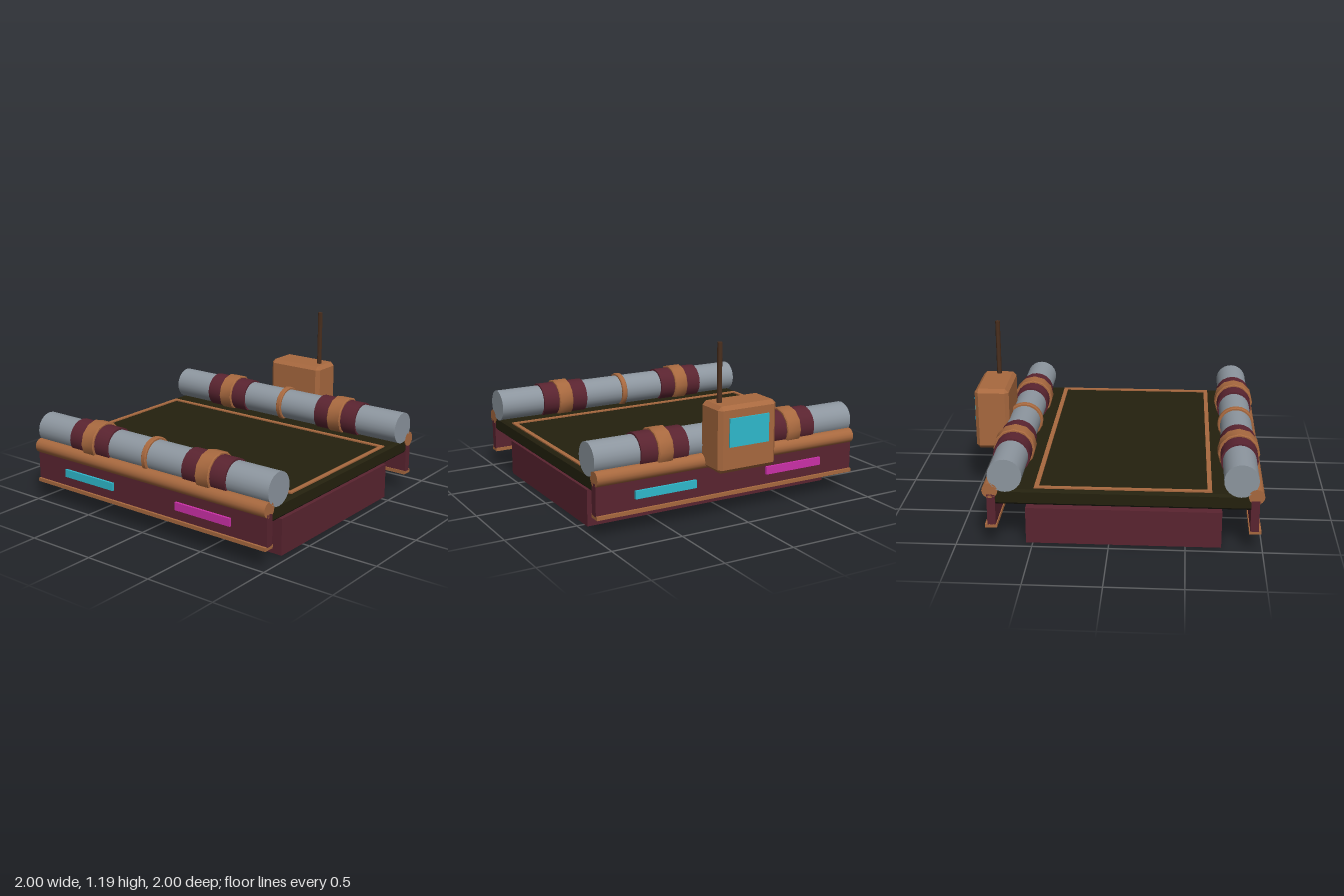
import * as THREE from 'three';
import { ConvexGeometry } from 'three/addons/geometries/ConvexGeometry.js';
import { toCreasedNormals } from 'three/addons/utils/BufferGeometryUtils.js';

const mat = (name, color) => Object.assign(new THREE.MeshStandardMaterial({ color }), { name });

export function createModel() {
  const model = new THREE.Group();
  model.name = 'cargoPlatform';
  const copper = mat('copper', 0xa8693f);
  const maroon = mat('maroon', 0x5a2430);
  const olive = mat('darkOlive', 0x24210e);
  const steel = mat('steel', 0x8d969f);
  const cyan = mat('cyan', 0x2fbacd);
  const magenta = mat('magenta', 0xcc30a8);
  const brown = mat('darkBrown', 0x4a2f1e);

  const MID = 0.092; // z of the deck centre

  function add(parent, name, geo, material, x, y, z) {
    const mesh = new THREE.Mesh(geo, material);
    mesh.name = name;
    mesh.position.set(x, y, z);
    parent.add(mesh);
    return mesh;
  }
  const box = (w, h, d) => new THREE.BoxGeometry(w, h, d);

  // box with all edges cut by c
  function chamferBox(w, h, d, c) {
    const pts = [];
    for (const x of [-w / 2, w / 2]) for (const y of [-h / 2, h / 2]) for (const z of [-d / 2, d / 2]) {
      const cx = c * Math.sign(x), cy = c * Math.sign(y), cz = c * Math.sign(z);
      pts.push(new THREE.Vector3(x, y - cy, z - cz),
        new THREE.Vector3(x - cx, y, z - cz),
        new THREE.Vector3(x - cx, y - cy, z));
    }
    return new ConvexGeometry(pts);
  }

  // smooth cylinder lying along x
  const rod = (r, length, sides) => toCreasedNormals(
    new THREE.CylinderGeometry(r, r, length, sides).rotateZ(Math.PI / 2), 0.7);

  // clamp ring along x with slightly eased rims
  function clampRing(r, width, inner, sides) {
    const h = width / 2, e = 0.006;
    const profile = [[inner, -h], [r - e, -h], [r, -h + e], [r, h - e], [r - e, h], [inner, h]]
      .map(([x, y]) => new THREE.Vector2(x, y));
    return toCreasedNormals(new THREE.LatheGeometry(profile, sides).rotateZ(Math.PI / 2), 0.7);
  }

  // lower hull and deck
  add(model, 'baseBlock', box(1.89, 0.25, 1.28), maroon, 0, 0.125, 0.095);
  add(model, 'deck', chamferBox(1.99, 0.105, 1.685, 0.015), olive, 0, 0.348, MID);

  // thin border on the deck
  const rect = (path, x, z) => path.moveTo(-x, -z).lineTo(x, -z).lineTo(x, z).lineTo(-x, z).closePath();
  const border = rect(new THREE.Shape(), 0.965, 0.573);
  border.holes.push(rect(new THREE.Path(), 0.935, 0.543));
  const borderGeo = new THREE.ExtrudeGeometry(border, { depth: 0.009, bevelEnabled: false }).rotateX(-Math.PI / 2);
  add(model, 'deckBorder', borderGeo, copper, 0, 0.4, MID);

  // side assemblies: the rear one is the front one turned around
  for (const rear of [false, true]) {
    const side = new THREE.Group();
    side.name = rear ? 'rearSide' : 'frontSide';
    side.position.z = MID;
    if (rear) side.rotation.y = Math.PI;
    model.add(side);

    add(side, 'skirt', box(2, 0.215, 0.055), maroon, 0, 0.2575, 0.85);
    add(side, 'skirtTrim', box(2, 0.025, 0.078), copper, 0, 0.143, 0.855);
    add(side, 'rail', rod(0.052, 2, 16), copper, 0, 0.393, 0.856);

    // glowing panels
    add(side, 'cyanPanel', box(0.45, 0.055, 0.02), cyan, -0.5, 0.252, 0.884);
    add(side, 'magentaPanel', box(0.45, 0.055, 0.02), magenta, 0.5, 0.252, 0.884);

    // pipe with its sleeves and clamps
    const pipe = new THREE.Group();
    pipe.name = 'pipeAssembly';
    pipe.position.set(0, 0.5, 0.757);
    side.add(pipe);
    add(pipe, 'pipe', rod(0.112, 2, 24), steel, 0, 0, 0);
    add(pipe, 'centreRing', clampRing(0.13, 0.04, 0.1, 20), copper, 0, 0, 0);
    for (const x of [-0.5, 0.5]) {
      add(pipe, 'sleeve', rod(0.125, 0.35, 20), maroon, x, 0, 0);
      add(pipe, 'clamp', clampRing(0.142, 0.11, 0.1, 12), copper, x, 0, 0);
    }
  }

  // control box at the back with screen and antenna
  add(model, 'controlBox', chamferBox(0.44, 0.445, 0.24, 0.026), copper, 0, 0.577, -0.868);
  add(model, 'screen', box(0.3, 0.19, 0.02), cyan, 0, 0.625, -0.988);
  add(model, 'antenna', toCreasedNormals(new THREE.CylinderGeometry(0.017, 0.017, 0.42, 10), 0.8),
    brown, 0.15, 0.983, -0.866);

  return model;
}
